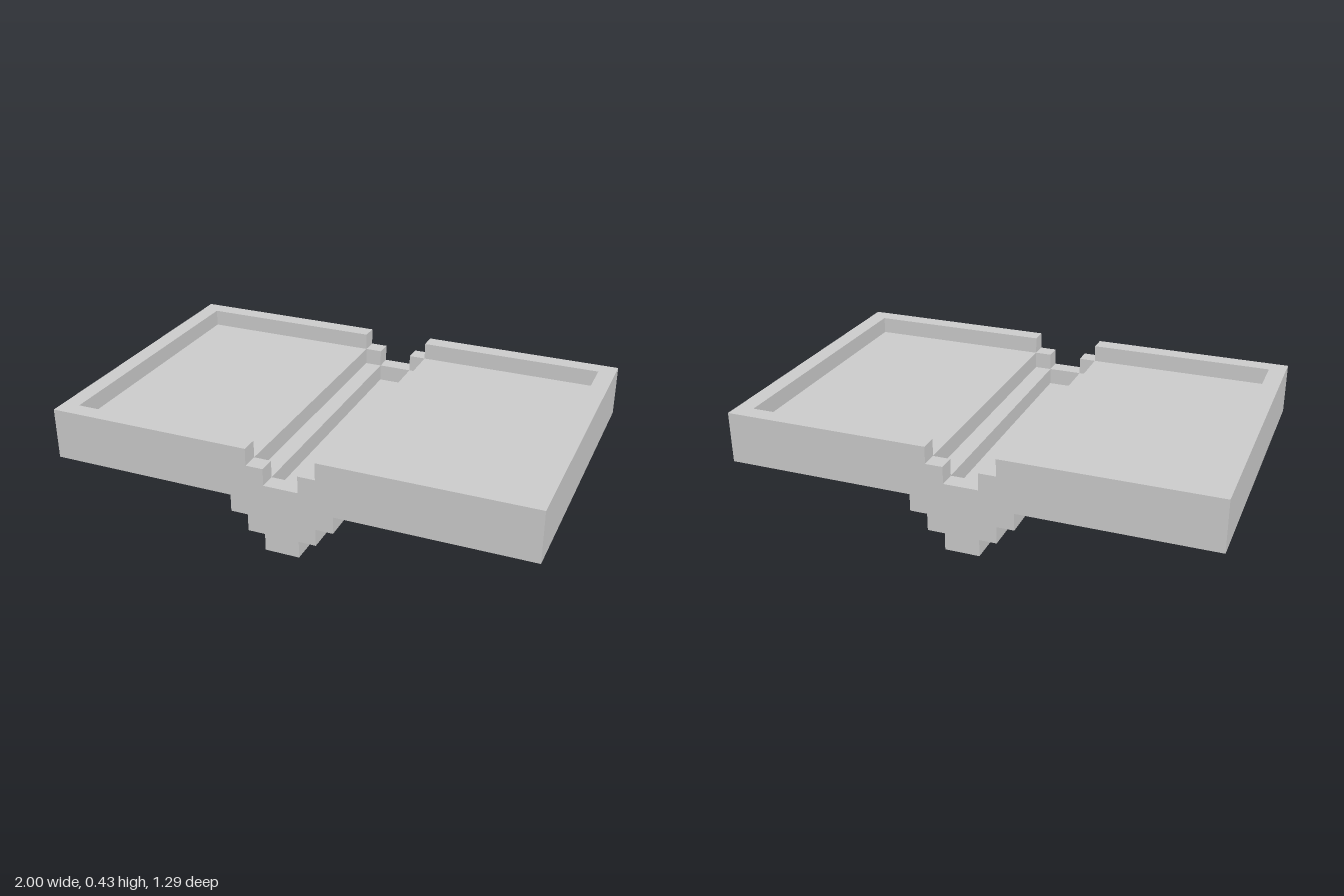
import * as THREE from 'three';

const U = 1 / 14; // one step of the design grid

// Stepped cross-section, symmetric in x: flat wings with a V-shaped stepped channel.
function steppedProfile(halfWidth, top) {
  const half = [
    [1, 0], [1, 1], [2, 1], [2, 2], [3, 2], [3, 3], [halfWidth, 3],
    [halfWidth, top], [2, top], [2, top - 1], [1, top - 1], [1, top - 2],
  ];
  const mirrored = half.map(([x, y]) => [-x, y]).reverse();
  return new THREE.Shape([...half, ...mirrored].map(([x, y]) => new THREE.Vector2(x * U, y * U)));
}

export function createModel() {
  const model = new THREE.Group();
  const material = new THREE.MeshStandardMaterial({ color: 0xcccccc, flatShading: true });

  const add = (name, geometry, x = 0, y = 0, z = 0) => {
    const mesh = new THREE.Mesh(geometry, material);
    mesh.name = name;
    mesh.position.set(x * U, y * U, z * U);
    model.add(mesh);
  };
  const extrude = (shape, depth) =>
    new THREE.ExtrudeGeometry(shape, { depth: depth * U, bevelEnabled: false });

  // Sunken floor with the channel running front to back
  add('steppedFloor', extrude(steppedProfile(13, 5), 16), 0, 0, -8);

  // End walls follow the same steps, one step higher
  add('frontWall', extrude(steppedProfile(14, 6), 1), 0, 0, 8);
  add('backWall', extrude(steppedProfile(14, 6), 1), 0, 0, -9);

  // Straight side walls
  for (const side of [1, -1]) {
    add(side > 0 ? 'leftWall' : 'rightWall',
      new THREE.BoxGeometry(U, 3 * U, 16 * U), side * 13.5, 4.5, 0);
  }
  return model;
}
